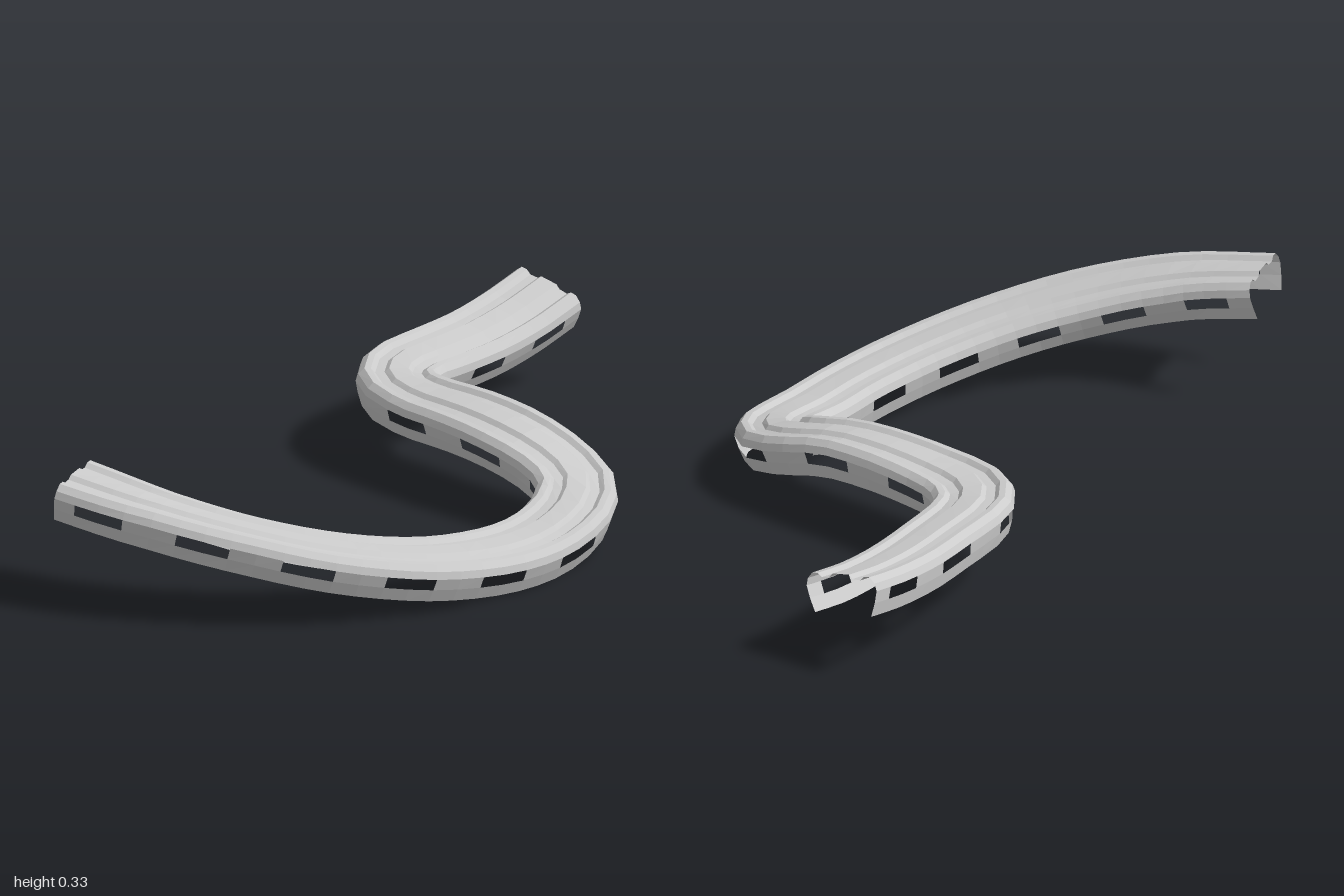
import * as THREE from 'three';

const PERIODS = 12;          // wall slots along the track
const STEPS = PERIODS * 4;   // sweep stations

// Centre line: [x, y of underside, z, rise of outer edge]
function pathPoints() {
  const pts = [];
  // big sweeping bend
  const bend = [[83, 0.235, 0], [68, 0.195, 0.008], [53, 0.143, 0.008], [38, 0.088, 0],
    [23, 0.042, -0.006], [10, 0.017, -0.01], [0, 0.01, -0.01]];
  for (const [deg, y, roll] of bend) {
    const a = THREE.MathUtils.degToRad(deg);
    pts.push([-0.03 - 0.865 * Math.sin(a), y, -0.47 + 0.865 * Math.cos(a), roll]);
  }
  // tight bend, rising straight, tight bend, final straight
  pts.push(
    [0.08, 0.022, 0.39, -0.01], [0.17, 0.042, 0.365, -0.008], [0.235, 0.065, 0.31, -0.003],
    [0.262, 0.095, 0.22, 0.004], [0.27, 0.125, 0.1, 0.01], [0.278, 0.135, -0.05, 0.008],
    [0.285, 0.13, -0.2, 0.003], [0.3, 0.13, -0.29, -0.004], [0.35, 0.13, -0.36, -0.01],
    [0.43, 0.13, -0.392, -0.014], [0.55, 0.125, -0.398, -0.017], [0.7, 0.122, -0.402, -0.018],
    [0.85, 0.135, -0.405, -0.02], [0.985, 0.16, -0.405, -0.02]);
  return pts;
}

// Position, side and up vectors at each station
function makeFrames() {
  const pts = pathPoints();
  const curve = new THREE.CatmullRomCurve3(pts.map(p => new THREE.Vector3(p[0], p[1], p[2])));
  const frames = [];
  for (let i = 0; i <= STEPS; i++) {
    const t = curve.getUtoTmapping(i / STEPS);
    const k = Math.min(Math.floor(t * (pts.length - 1)), pts.length - 2);
    const roll = THREE.MathUtils.lerp(pts[k][3], pts[k + 1][3], t * (pts.length - 1) - k);
    const tangent = curve.getTangent(t);
    const side = new THREE.Vector3().crossVectors(tangent, new THREE.Vector3(0, 1, 0)).normalize();
    side.applyAxisAngle(tangent, -Math.atan2(roll, 0.1));
    if (Math.sign(side.y) !== Math.sign(roll)) side.y *= -1;
    const up = new THREE.Vector3().crossVectors(side, tangent).normalize();
    frames.push({ pos: curve.getPoint(t), side, up });
  }
  return frames;
}

// Sweep an open profile of [across, height]; isOpen(row, step) leaves a gap
function sweep(profile, frames, isOpen = () => false) {
  const pos = [], index = [], n = profile.length;
  for (const f of frames)
    for (const [u, v] of profile) {
      const p = f.pos.clone().addScaledVector(f.side, u).addScaledVector(f.up, v);
      pos.push(p.x, p.y, p.z);
    }
  for (let i = 0; i < frames.length - 1; i++)
    for (let j = 0; j < n - 1; j++) {
      if (isOpen(j, i)) continue;
      const a = i * n + j, b = a + 1, c = a + n, d = c + 1;
      index.push(a, c, b, b, c, d);
    }
  const g = new THREE.BufferGeometry();
  g.setAttribute('position', new THREE.Float32BufferAttribute(pos, 3));
  g.setIndex(index);
  g.computeVertexNormals();
  return g;
}

export function createModel() {
  const group = new THREE.Group();
  group.name = 'curvedTrack';
  const material = new THREE.MeshStandardMaterial({
    color: 0xcccccc, flatShading: true, side: THREE.DoubleSide });
  const frames = makeFrames();
  const add = (name, geometry) => {
    const mesh = new THREE.Mesh(geometry, material);
    mesh.name = name;
    group.add(mesh);
  };
  const mirror = profile => profile.map(([u, v]) => [-u, v]).reverse();

  // Ridged running surface
  const half = [[-0.1, 0.085], [-0.086, 0.1], [-0.07, 0.1], [-0.058, 0.09], [-0.035, 0.092], [-0.024, 0.102]];
  add('ridgedDeck', sweep([...half, ...mirror(half)], frames));

  // Slotted side walls, tapering in at the foot
  const wall = [[-0.084, 0], [-0.097, 0.035], [-0.105, 0.066], [-0.1, 0.085]];
  const slot = (row, step) => row === 1 && (step % 4 === 1 || step % 4 === 2);
  add('innerWall', sweep(wall, frames, slot));
  add('outerWall', sweep(mirror(wall), frames, slot));

  return group;
}
